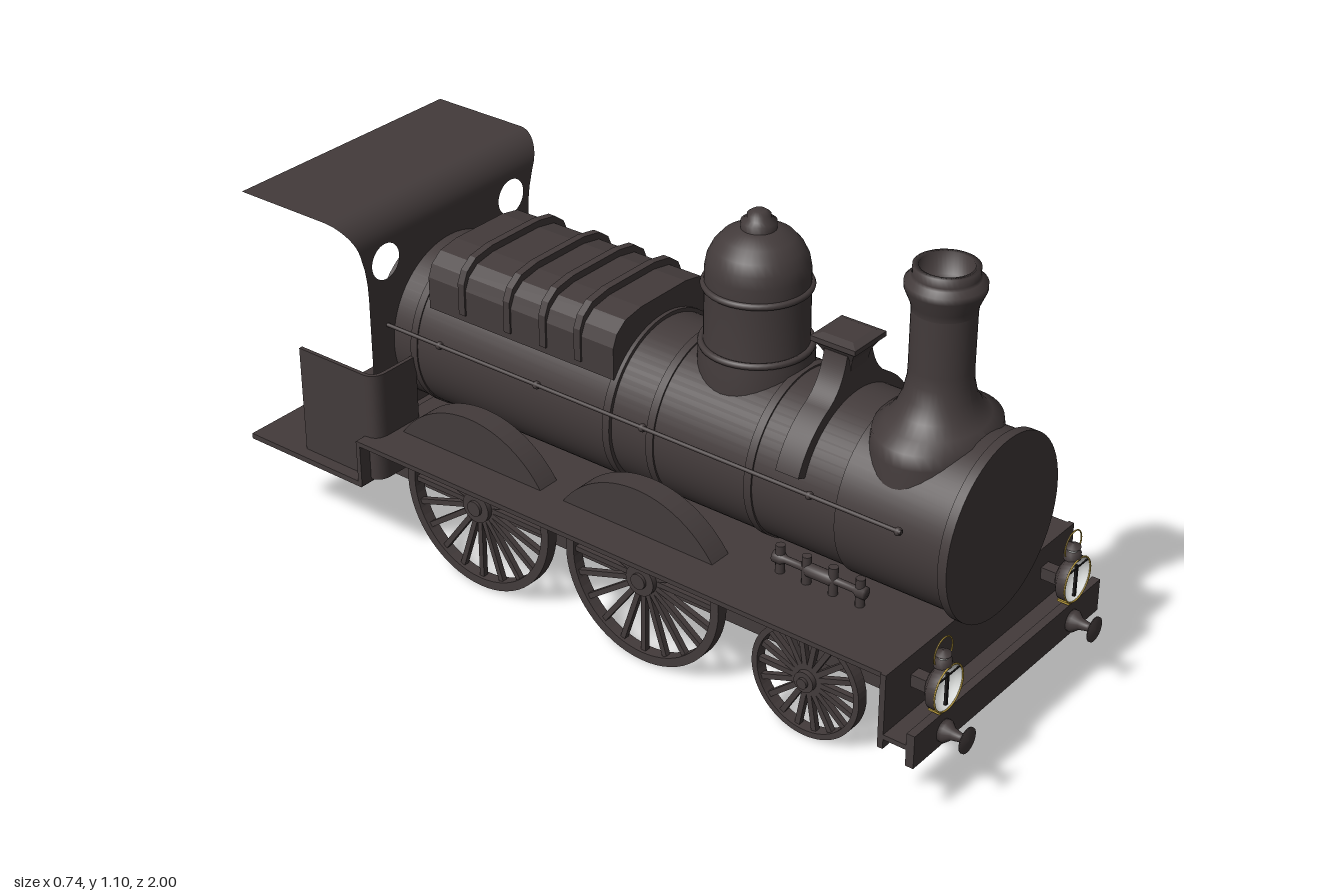
import * as THREE from 'three';
import { mergeGeometries } from 'three/addons/utils/BufferGeometryUtils.js';

const mat = (name, color, side = THREE.FrontSide) => {
  const m = new THREE.MeshStandardMaterial({ color, side });
  m.name = name;
  return m;
};

export function createModel() {
  const iron = mat('dark iron', 0x433b3b, THREE.DoubleSide);
  const brass = mat('brass', 0xb89a3c);
  const glass = mat('white glass', 0xe4e6e4);
  const black = mat('black', 0x1c1a1a);

  const model = new THREE.Group();
  model.name = 'steamLocomotive';
  const body = new THREE.Group();
  body.name = 'engineBody';
  body.position.x = 0.008;
  model.add(body);

  const add = (parent, name, geo, x = 0, y = 0, z = 0, m = iron) => {
    const mesh = new THREE.Mesh(geo, m);
    mesh.name = name;
    mesh.position.set(x, y, z);
    parent.add(mesh);
    return mesh;
  };
  const box = (w, h, d) => new THREE.BoxGeometry(w, h, d);
  const rodZ = (r, len, n = 48) => new THREE.CylinderGeometry(r, r, len, n).rotateX(Math.PI / 2);
  const rodX = (r, len, n = 24) => new THREE.CylinderGeometry(r, r, len, n).rotateZ(Math.PI / 2);
  const lathe = (pts, n = 40) => new THREE.LatheGeometry(pts.map(p => new THREE.Vector2(...p)), n);
  const latheZ = (pts, n) => lathe(pts, n).rotateX(Math.PI / 2);
  const extrude = (shape, depth) =>
    new THREE.ExtrudeGeometry(shape, { depth, bevelEnabled: false, curveSegments: 32 });
  const poly = pts => new THREE.Shape(pts.map(p => new THREE.Vector2(...p)));

  // Boiler, smokebox and bands
  const cy = 0.535;
  add(body, 'boiler', rodZ(0.2, 1.58, 64), 0, cy, 0.07);
  add(body, 'smokebox', rodZ(0.206, 0.27, 64), 0, cy, 0.735);
  add(body, 'smokeboxDoor', rodZ(0.217, 0.022, 64), 0, cy, 0.878);
  add(body, 'fireboxShell', rodZ(0.206, 0.705, 64), 0, cy, -0.3725);
  for (const z of [0.37, 0.1, -0.02, -0.6])
    add(body, 'boilerBand', rodZ(z < 0 ? 0.209 : 0.204, 0.02, 64), 0, cy, z);
  add(body, 'fireDoorBox', box(0.25, 0.18, 0.13), 0, 0.33, -0.75);

  // Chimney: the foot spreads sideways over the smokebox
  const chimney = lathe([[0.135, 0.65], [0.132, 0.7], [0.128, 0.733], [0.106, 0.75], [0.088, 0.775], [0.077, 0.805],
    [0.071, 0.84], [0.07, 0.87], [0.07, 1.0]]);
  const cp = chimney.attributes.position;
  for (let i = 0; i < cp.count; i++) {
    const t = THREE.MathUtils.clamp((0.83 - cp.getY(i)) / 0.1, 0, 1);
    cp.setX(i, cp.getX(i) * (1 + 0.27 * t));
  }
  chimney.computeVertexNormals();
  add(body, 'chimney', chimney, 0, 0, 0.715);
  add(body, 'chimneyCap', lathe([[0.07, 1.0], [0.072, 1.015], [0.087, 1.05], [0.087, 1.064], [0.074, 1.074],
    [0.071, 1.08], [0.071, 1.1], [0.058, 1.1], [0.056, 1.05], [0, 1.045]]), 0, 0, 0.715);

  // Steam dome
  add(body, 'steamDome', lathe([[0.13, 0.66], [0.13, 0.75], [0.118, 0.77], [0.117, 0.905], [0.117, 0.945],
    [0.112, 0.972], [0.1, 0.997], [0.08, 1.02], [0.045, 1.038], [0, 1.045]]), 0, 0, 0.24);
  for (const [r, y] of [[0.118, 0.907], [0.123, 0.765]])
    add(body, 'domeRing', new THREE.TorusGeometry(r, 0.008, 8, 48).rotateX(Math.PI / 2), 0, y, 0.24);
  add(body, 'domeCap', lathe([[0.04, 1.03], [0.04, 1.055], [0.026, 1.06], [0.026, 1.072], [0.015, 1.08], [0, 1.08]], 24), 0, 0, 0.24);

  // Regulator housing rising out of a saddle over the boiler
  const saddle = new THREE.Shape();
  saddle.absarc(0, 0, 0.226, 0.35, 1.05, false);
  saddle.quadraticCurveTo(0.06, 0.225, 0.045, 0.3);
  saddle.lineTo(-0.045, 0.3);
  saddle.quadraticCurveTo(-0.06, 0.225, 0.226 * Math.cos(Math.PI - 1.05), 0.226 * Math.sin(1.05));
  saddle.absarc(0, 0, 0.226, Math.PI - 1.05, Math.PI - 0.35, false);
  saddle.absarc(0, 0, 0.19, Math.PI - 0.35, 0.35, true);
  add(body, 'regulatorSaddle', extrude(saddle, 0.06), 0, cy, 0.45);
  const regulator = lathe([[0.042, 0.74], [0.042, 0.79], [0.05, 0.82], [0.068, 0.842], [0.082, 0.85], [0.082, 0.862],
    [0.055, 0.869], [0, 0.869]], 4).rotateY(Math.PI / 4).toNonIndexed();
  regulator.computeVertexNormals();
  add(body, 'regulatorHousing', regulator, 0, 0, 0.48);

  // Ribbed cover over the firebox
  const coverShape = k => poly([[-0.178, 0.65], [-0.178, 0.73], [-0.165, 0.76], [-0.135, 0.783], [-0.08, 0.793],
    [0.08, 0.793], [0.135, 0.783], [0.165, 0.76], [0.178, 0.73], [0.178, 0.65]]
    .map(([x, y]) => [x * k, y + (k - 1) * 0.65]));
  add(body, 'fireboxCover', extrude(coverShape(1), 0.55), 0, 0, -0.57);
  for (const z of [-0.13, -0.232, -0.338, -0.475])
    add(body, 'coverRib', extrude(coverShape(1.026), 0.019), 0, 0, z);

  // Frame, footplate, cab floor and buffer beam
  add(body, 'frame', box(0.412, 0.18, 1.605), 0, 0.259, 0.0475);
  add(model, 'footplate', box(0.73, 0.012, 1.49), 0, 0.348, 0.105);
  add(model, 'frontPlate', box(0.74, 0.185, 0.014), 0, 0.262, 0.852);
  add(model, 'footplateStep', box(0.73, 0.12, 0.012), 0, 0.293, -0.638);
  add(model, 'cabFloor', box(0.73, 0.014, 0.365), 0, 0.237, -0.8175);
  add(model, 'bufferBeamWeb', box(0.74, 0.012, 0.08), 0, 0.2, 0.885);
  add(model, 'bufferBeamFront', box(0.74, 0.082, 0.02), 0, 0.195, 0.926);

  // Spoked wheels, axles and splashers
  const wheelGeo = (r, spokes) => {
    const ring = new THREE.Shape().absarc(0, 0, r, 0, Math.PI * 2);
    ring.holes.push(new THREE.Path().absarc(0, 0, r * 0.9, 0, Math.PI * 2, true));
    const parts = [extrude(ring, 0.03).translate(0, 0, -0.015),
      rodZ(r * 0.18, 0.04, 24).toNonIndexed(), rodZ(r * 0.09, 0.055, 16).toNonIndexed()];
    for (let i = 0; i < spokes; i++)
      parts.push(box(r * 0.78, 0.013, 0.014).toNonIndexed().translate(r * 0.53, 0, 0).rotateZ(i * 2 * Math.PI / spokes));
    return mergeGeometries(parts).rotateY(Math.PI / 2);
  };
  for (const [name, r, z, spokes] of [['drivingWheel', 0.219, 0.118, 20], ['drivingWheel', 0.219, -0.374, 20],
    ['leadingWheel', 0.143, 0.573, 18]]) {
    const geo = wheelGeo(r, spokes);
    const y = r + 0.001;
    for (const s of [-1, 1]) add(body, name, geo, s * 0.242, y, z);
    add(body, 'axle', rodX(0.018, 0.5), 0, y, z);
    if (r < 0.2) continue;
    const arch = new THREE.Shape();
    arch.absarc(0, 0.207, 0.258, 0.587, Math.PI - 0.587, false);
    for (const s of [-1, 1])
      add(body, 'splasher', extrude(arch, 0.058).translate(0, 0, -0.029).rotateY(Math.PI / 2), s * 0.243, 0, z);
  }

  // Cab front sheet with round windows, curving back into the roof
  const halfWidth = y => 0.28 + 0.059 * Math.pow(Math.max(0, (y - 0.68) / 0.2), 2.2);
  const edge = [];
  for (let y = 0.24; y < 0.801; y += 0.04) edge.push([halfWidth(y), y]);
  edge.push([halfWidth(0.81), 0.81]);
  const topY = 0.81;
  const sheet = poly([...edge, ...edge.map(([x, y]) => [-x, y]).reverse()]);
  for (const s of [-1, 1])
    sheet.holes.push(new THREE.Path().absarc(s * 0.219, 0.757, 0.045, 0, Math.PI * 2, true));
  add(body, 'cabFront', new THREE.ShapeGeometry(sheet, 32), 0, 0, -0.665);
  const pos = [], idx = [], steps = 12;
  for (let i = 0; i <= steps + 1; i++) {
    const a = Math.min(i / steps, 1) * Math.PI / 2;
    const y = topY + (0.881 - topY) * Math.sin(a);
    const z = i > steps ? -1 : -0.665 - 0.07 * (1 - Math.cos(a));
    const w = halfWidth(y);
    pos.push(-w, y, z, w, y, z);
    if (i) { const k = i * 2; idx.push(k - 2, k - 1, k + 1, k - 2, k + 1, k); }
  }
  const roof = new THREE.BufferGeometry();
  roof.setAttribute('position', new THREE.Float32BufferAttribute(pos, 3));
  roof.setIndex(idx);
  roof.computeVertexNormals();
  add(body, 'cabRoof', roof);

  // Cab side panels with a rounded front corner
  for (const s of [-1, 1]) {
    const plan = new THREE.Shape();
    plan.moveTo(s * 0.342, 0.845);
    plan.lineTo(s * 0.342, 0.64);
    plan.quadraticCurveTo(s * 0.342, 0.603, s * 0.3, 0.603);
    plan.lineTo(s * 0.2, 0.603);
    plan.lineTo(s * 0.2, 0.613);
    plan.lineTo(s * 0.3, 0.613);
    plan.quadraticCurveTo(s * 0.332, 0.613, s * 0.332, 0.64);
    plan.lineTo(s * 0.332, 0.845);
    add(body, 'cabSide', extrude(plan, 0.28).rotateX(-Math.PI / 2).scale(1, 1, 1), 0, 0.24, 0);
  }

  // Handrails and injectors along both sides
  for (const s of [-1, 1]) {
    add(body, 'handrail', rodZ(0.005, 1.45, 8), s * 0.224, 0.593, 0.055);
    for (const z of [0.77, 0.545, 0.095, -0.21, -0.505])
      add(body, 'handrailKnob', new THREE.SphereGeometry(0.01, 12, 8), s * 0.22, 0.59, z);
    add(body, 'injectorBody', latheZ([[0, -0.12], [0.015, -0.12], [0.015, -0.1], [0.009, -0.09], [0.009, -0.04],
      [0.016, -0.03], [0.016, 0.03], [0.009, 0.04], [0.009, 0.09], [0.015, 0.1], [0.015, 0.12], [0, 0.12]], 16),
    s * 0.2, 0.39, 0.565);
    for (const z of [0.46, 0.53, 0.6, 0.67])
      add(body, 'injectorPost', new THREE.CylinderGeometry(0.011, 0.011, 0.07, 12), s * 0.2, 0.388, z);
  }

  // Buffers and head lamps
  for (const s of [-1, 1]) {
    const x = s * 0.256 - 0.004;
    add(model, 'buffer', latheZ([[0, 0], [0.026, 0], [0.026, 0.012], [0.014, 0.026], [0.01, 0.046], [0.012, 0.054],
      [0.03, 0.059], [0.03, 0.063], [0, 0.066]], 24), x, 0.19, 0.934);

    const lamp = new THREE.Group();
    lamp.name = 'headLamp';
    lamp.position.set(x, 0.3, 0);
    model.add(lamp);
    add(lamp, 'lampDrum', latheZ([[0, 0.899], [0.03, 0.903], [0.054, 0.92], [0.054, 0.943]], 32));
    add(lamp, 'lampBracket', box(0.03, 0.03, 0.06), 0, -0.01, 0.878);
    add(lamp, 'lampRim', new THREE.TorusGeometry(0.054, 0.002, 8, 40), 0, 0, 0.943, brass);
    add(lamp, 'lampReflector', latheZ([[0.054, 0.943], [0.047, 0.931], [0.036, 0.92], [0.02, 0.913], [0, 0.91]], 32), 0, 0, 0, glass);
    add(lamp, 'lampWick', box(0.007, 0.08, 0.006), 0, -0.004, 0.938, black);
    add(lamp, 'lampBar', box(0.085, 0.003, 0.003), 0, 0.032, 0.941, black);
    add(lamp, 'lampVent', lathe([[0.02, 0.05], [0.02, 0.066], [0.012, 0.07]], 20), 0, 0, 0.925);
    add(lamp, 'lampVentBand', lathe([[0.012, 0.07], [0.014, 0.077]], 20), 0, 0, 0.925, glass);
    add(lamp, 'lampVentCap', lathe([[0.018, 0.077], [0.018, 0.081], [0, 0.088]], 20), 0, 0, 0.925);
    add(lamp, 'lampHandle', new THREE.TorusGeometry(0.034, 0.0018, 6, 28, Math.PI * 1.3).rotateZ(-Math.PI * 0.15), 0, 0.084, 0.925, brass);
    add(lamp, 'lampFoot', box(0.04, 0.005, 0.03), 0, -0.058, 0.923, brass);
  }
  return model;
}
